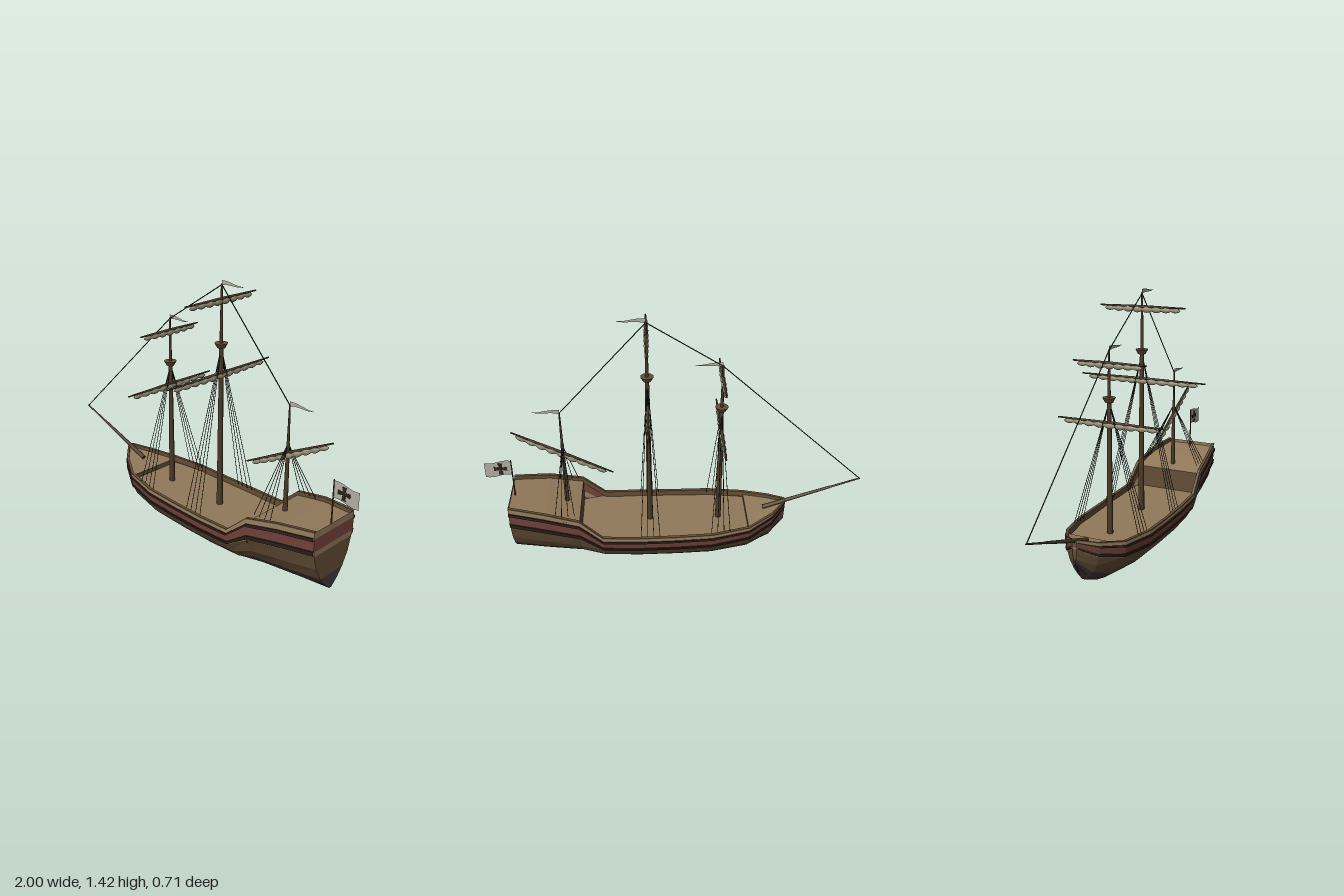
import * as THREE from 'three';

const paint = (name, color) => new THREE.MeshStandardMaterial({ name, color, side: THREE.DoubleSide });
const M = {
  tan: paint('pale planking', 0x927a5b),
  red: paint('red strake', 0x74433a),
  brown: paint('hull wood', 0x644e36),
  dark: paint('tarred bottom', 0x45393a),
  wale: paint('wale wood', 0x2e231c),
  spar: paint('spar wood', 0x4a3a28),
  rope: paint('rope', 0x1d1b19),
  sail: paint('furled canvas', 0x979079),
  flag: paint('flag cloth', 0xb3b1a3),
};
const V = (x, y, z) => new THREE.Vector3(x, y, z);

// Hull stations from bow to stern: x, half width, keel height, sheer height
const STATIONS = [
  [-0.6, 0.012, 0.2, 0.325], [-0.52, 0.09, 0.09, 0.295], [-0.39, 0.165, 0.035, 0.267],
  [-0.19, 0.205, 0.01, 0.257], [0, 0.21, 0.005, 0.253], [0.2, 0.213, 0.005, 0.253],
  [0.39, 0.209, 0.014, 0.257], [0.51, 0.2, 0.028, 0.365], [0.69, 0.183, 0.045, 0.405],
  [0.88, 0.15, 0.065, 0.425],
];
// Section shape: fraction of height, fraction of half width
const SECTION = [[0, 0.05], [0.1, 0.32], [0.23, 0.56], [0.42, 0.8], [0.635, 0.94], [0.71, 0.98], [0.9, 1.01], [1, 0.99]];
function fullness(v) {
  const i = Math.max(1, SECTION.findIndex(p => p[0] >= v - 1e-6));
  const [a, b] = [SECTION[i - 1], SECTION[i]];
  return a[1] + (b[1] - a[1]) * (v - a[0]) / (b[0] - a[0]);
}
// Point on the hull at height fraction v, pushed outward by out
const hullPoint = ([x, w, k, s], v, side, out = 0, up = 0) =>
  V(x, k + v * (s - k) + up, side * Math.max(0.003, w * fullness(v) + out));

function add(parent, name, geo, mat) {
  const mesh = new THREE.Mesh(geo, mat);
  mesh.name = name;
  parent.add(mesh);
  return mesh;
}

// Faceted surface through rows of points
function grid(rows) {
  const pos = [];
  for (let i = 0; i + 1 < rows.length; i++) {
    for (let j = 0; j + 1 < rows[i].length; j++) {
      const [a, b, c, d] = [rows[i][j], rows[i + 1][j], rows[i + 1][j + 1], rows[i][j + 1]];
      for (const p of [a, b, c, a, c, d]) pos.push(p.x, p.y, p.z);
    }
  }
  const geo = new THREE.BufferGeometry();
  geo.setAttribute('position', new THREE.Float32BufferAttribute(pos, 3));
  geo.computeVertexNormals();
  return geo;
}

// Tapered round bar between two points
function bar(parent, name, a, b, ra, rb, mat, sides = 8) {
  const dir = b.clone().sub(a);
  const mesh = add(parent, name, new THREE.CylinderGeometry(rb, ra, dir.length(), sides), mat);
  mesh.position.copy(a).add(b).multiplyScalar(0.5);
  mesh.quaternion.setFromUnitVectors(V(0, 1, 0), dir.normalize());
  return mesh;
}

function buildHull(g) {
  const bands = [
    ['bottomPlanking', M.dark, [0, 0.1, 0.23]], ['sidePlanking', M.brown, [0.23, 0.42, 0.635]],
    ['lowerStrake', M.tan, [0.635, 0.71]], ['redStrake', M.red, [0.71, 0.9]], ['topStrake', M.tan, [0.9, 1]],
  ];
  const bow = STATIONS[0], stern = STATIONS[STATIONS.length - 1];
  for (const [name, mat, vs] of bands) {
    for (const s of [1, -1]) {
      const rows = STATIONS.map(st => vs.map(v => hullPoint(st, v, s)));
      add(g, name, grid(s > 0 ? rows : rows.reverse()), mat);
    }
    // Stem and transom close the ends
    add(g, name + 'Stem', grid(vs.map(v => [hullPoint(bow, v, -1), hullPoint(bow, v, 1)])), mat);
    add(g, name + 'Transom', grid(vs.map(v => [hullPoint(stern, v, 1), hullPoint(stern, v, -1)])), mat);
  }
  for (const s of [1, -1]) {
    // Wales along the sides
    for (const v of [0.69, 0.9]) {
      const d = v < 0.8 ? 0.035 : 0.022;
      add(g, 'wale', grid(STATIONS.map(st => [hullPoint(st, v - d, s), hullPoint(st, v - d, s, 0.007),
        hullPoint(st, v + d, s, 0.007), hullPoint(st, v + d, s)])), M.wale);
    }
    // Rail capping the bulwark
    add(g, 'rail', grid(STATIONS.map(st => [hullPoint(st, 1, s, 0.004, -0.002), hullPoint(st, 1, s, 0.004, 0.004),
      hullPoint(st, 1, s, -0.012, 0.004), hullPoint(st, 1, s, -0.012, -0.03)])), M.brown);
  }
  // Decks: station range and height at each station
  const deck = (name, from, to, height) => add(g, name, grid(STATIONS.slice(from, to + 1).map(st => {
    const y = height(st), v = (y - st[2]) / (st[3] - st[2]);
    return [1, -1].map(s => V(st[0], y, hullPoint(st, v, s).z));
  }).reverse()), M.tan);
  deck('mainDeck', 2, 7, () => 0.225);
  deck('foreDeck', 0, 2, st => st[3] - 0.016);
  deck('sternDeck', 7, 9, st => st[3] - 0.018);
  // Bulkheads below the raised decks
  for (const [i, drop] of [[2, 0.016], [7, 0.018]]) {
    const st = STATIONS[i], w = st[1] * 0.95;
    add(g, 'bulkhead', grid([0.225, st[3] - drop].map(y => [V(st[0], y, -w), V(st[0], y, w)])), M.brown);
  }
}

// Yard along x with a furled, scalloped sail hanging under it
function buildYard(half, lumps) {
  const yard = new THREE.Group();
  yard.name = 'yard';
  for (const s of [1, -1]) bar(yard, 'yardArm', V(0, 0, 0), V(s * half, 0, 0), 0.008, 0.004, M.spar);
  const n = lumps * 4, profile = [];
  for (let i = 0; i <= n; i++) {
    const t = i / n * 2 - 1;
    const r = (0.008 + 0.01 * Math.abs(Math.sin(i / 4 * Math.PI))) * (1 - 0.4 * t * t);
    profile.push(new THREE.Vector2(i % n ? r : 0.001, t * half * 0.89));
  }
  const sail = add(yard, 'furledSail', new THREE.LatheGeometry(profile, 10).rotateZ(Math.PI / 2), M.sail);
  sail.position.y = -0.014;
  sail.scale.z = 0.75;
  return yard;
}

function buildMast(g, { name, x, base, top, nest, r, shroudTop, shroudY, shroudZ, yards }) {
  const mast = new THREE.Group();
  mast.name = name;
  mast.position.x = x;
  g.add(mast);
  const joint = nest || shroudTop;
  bar(mast, 'lowerMast', V(0, base, 0), V(0, joint, 0), r, r * 0.65, M.spar, 10);
  bar(mast, 'topMast', V(0, joint, 0), V(0, top, 0), r * 0.55, r * 0.3, M.spar, 8);
  if (nest) {
    add(mast, 'crowsNest', new THREE.CylinderGeometry(0.034, 0.02, 0.025, 10), M.brown).position.y = nest;
  }
  // Shrouds fan out to both sides
  for (const s of [1, -1]) {
    for (const dx of [-0.05, -0.017, 0.017, 0.05]) {
      bar(mast, 'shroud', V(0, shroudTop, 0), V(dx, shroudY, s * shroudZ), 0.0017, 0.0017, M.rope, 5);
    }
  }
  for (const [y, half, lumps] of yards) {
    const yard = buildYard(half, lumps);
    yard.position.y = y;
    yard.rotation.y = Math.PI / 2;
    mast.add(yard);
  }
  // Streamer at the masthead
  const rows = [0, 0.25, 0.5, 0.75, 1].map(t => {
    const y = top + 0.005 + 0.003 * Math.sin(t * 6), h = 0.011 * (1 - t) + 0.001;
    return [V(t * 0.138, y - h, 0), V(t * 0.138, y + h, 0)];
  });
  add(mast, 'streamer', grid(rows), M.flag);
}

function buildEnsign(g) {
  bar(g, 'flagStaff', V(0.86, 0.4, 0), V(0.86, 0.632, 0), 0.004, 0.003, M.spar, 6);
  const rows = [];
  for (let i = 0; i <= 8; i++) {
    const t = i / 8, y = 0.54 - 0.012 * t + 0.005 * Math.sin(t * 6.3);
    rows.push([V(0.86 + 0.14 * t, y, 0), V(0.86 + 0.14 * t, y + 0.088, 0)]);
  }
  add(g, 'ensign', grid(rows), M.flag);
  // Flared cross in the middle of the flag
  const shape = new THREE.Shape();
  for (let k = 0; k < 4; k++) {
    const c = Math.cos(k * Math.PI / 2), s = Math.sin(k * Math.PI / 2);
    for (const [u, w] of [[0.007, -0.007], [0.034, -0.012], [0.034, 0.012]]) {
      const px = u * c - w * s, py = u * s + w * c;
      if (k || u > 0.01) shape.lineTo(px, py); else shape.moveTo(px, py);
    }
  }
  const cross = add(g, 'ensignCross', new THREE.ExtrudeGeometry(shape, { depth: 0.004, bevelEnabled: false }), M.wale);
  cross.position.set(0.918, 0.579, -0.002);
}

export function createModel() {
  const g = new THREE.Group();
  g.name = 'sailingShip';
  buildHull(g);
  buildMast(g, { name: 'foreMast', x: -0.235, base: 0.22, top: 1.165, nest: 0.918, r: 0.016, shroudTop: 0.91,
    shroudY: 0.25, shroudZ: 0.185, yards: [[0.803, 0.29, 9], [1.1, 0.198, 7]] });
  buildMast(g, { name: 'mainMast', x: 0.14, base: 0.22, top: 1.405, nest: 1.1, r: 0.017, shroudTop: 1.09,
    shroudY: 0.25, shroudZ: 0.195, yards: [[0.957, 0.355, 11], [1.333, 0.24, 8]] });
  buildMast(g, { name: 'mizzenMast', x: 0.585, base: 0.35, top: 0.915, r: 0.013, shroudTop: 0.72,
    shroudY: 0.385, shroudZ: 0.17, yards: [] });
  // Slanting yard on the mizzen mast
  const lateen = buildYard(0.288, 9);
  lateen.name = 'lateenYard';
  lateen.position.set(0.585, 0.672, 0);
  lateen.rotation.z = 0.475;
  g.add(lateen);
  // Bowsprit in two lengths
  bar(g, 'bowsprit', V(-0.48, 0.28, 0), V(-0.84, 0.405, 0), 0.012, 0.007, M.spar);
  bar(g, 'jibBoom', V(-0.8, 0.391, 0), V(-1, 0.46, 0), 0.006, 0.004, M.spar);
  // Stays from the bowsprit over the mastheads
  const heads = [V(-0.995, 0.46, 0), V(-0.235, 1.16, 0), V(0.14, 1.4, 0), V(0.585, 0.912, 0)];
  for (let i = 0; i < 3; i++) bar(g, 'stay', heads[i], heads[i + 1], 0.0028, 0.0028, M.rope, 5);
  buildEnsign(g);
  return g;
}
